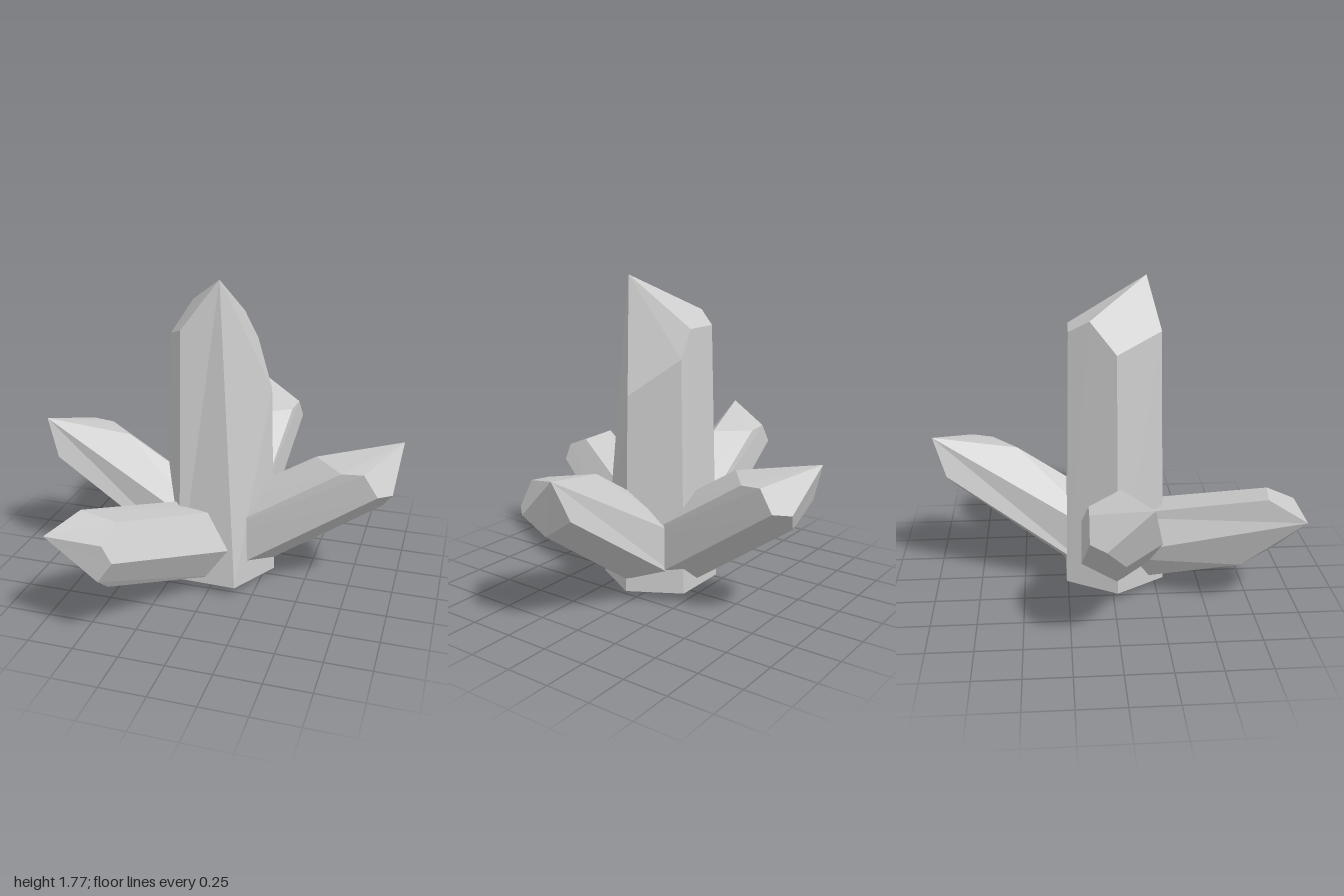
import * as THREE from 'three';

// Hexagonal crystal: base corners run clockwise seen from above
const base = [[0.16, 0.30], [-0.165, 0.29], [-0.33, 0.02], [-0.17, -0.26], [0.16, -0.26], [0.32, 0.02]]
  .map(([x, z]) => [x, 0.07, z]);
const apex = [0.045, 1.78, 0.195];
// Upper corner of each edge; the first edge runs right up to the apex
const top = [apex, [-0.145, 1.52, 0.26], [-0.283, 1.43, 0.015], [-0.135, 1.52, -0.23], [0.145, 1.37, -0.225], [0.287, 1.17, 0.02]];
// Extra peaks part-way along two walls
const peakLeft = [-0.2, 1.59, -0.12];
const peakBack = [0.065, 1.52, -0.228];

function crystalGeometry() {
  const faces = [base];
  for (let i = 0; i < 6; i++) {
    const j = (i + 1) % 6;
    const peak = i === 2 ? [peakLeft] : i === 3 ? [peakBack] : [];
    faces.push([base[j], base[i], top[i], ...peak, top[j]]);
  }
  // Three slanted facets of the point
  faces.push([apex, peakBack, top[3], peakLeft]);
  faces.push([apex, peakLeft, top[2], top[1]]);
  faces.push([apex, top[5], top[4], peakBack]);
  const positions = [];
  for (const f of faces)
    for (let k = 1; k < f.length - 1; k++) positions.push(...f[0], ...f[k], ...f[k + 1]);
  const g = new THREE.BufferGeometry();
  g.setAttribute('position', new THREE.Float32BufferAttribute(positions, 3));
  g.computeVertexNormals();
  return g;
}

export function createModel() {
  const group = new THREE.Group();
  const geometry = crystalGeometry();
  const material = new THREE.MeshStandardMaterial({ color: 0xcccccc, flatShading: true });

  const addCrystal = (name) => {
    const mesh = new THREE.Mesh(geometry, material);
    mesh.name = name;
    group.add(mesh);
    return mesh;
  };

  // Leaning crystal placed by its tip; heading, elevation and roll in degrees
  const addLeaning = (name, tip, heading, elevation, roll, scale) => {
    const [a, e, r] = [heading, elevation, roll].map(THREE.MathUtils.degToRad);
    const axis = new THREE.Vector3(Math.cos(e) * Math.cos(a), Math.sin(e), Math.cos(e) * Math.sin(a));
    const side = new THREE.Vector3(Math.sin(a), 0, -Math.cos(a));
    const up = new THREE.Vector3().crossVectors(axis, side);
    const x = side.clone().multiplyScalar(Math.cos(r)).addScaledVector(up, Math.sin(r));
    const z = new THREE.Vector3().crossVectors(x, axis);
    const mesh = addCrystal(name);
    mesh.quaternion.setFromRotationMatrix(new THREE.Matrix4().makeBasis(x, axis, z));
    mesh.scale.setScalar(scale);
    const offset = new THREE.Vector3(...apex).multiplyScalar(scale).applyQuaternion(mesh.quaternion);
    mesh.position.set(...tip).sub(offset);
  };

  addCrystal('mainCrystal');
  addLeaning('leftCrystal', [1, 0.9, -0.08], 2, 33.5, 90, 0.705);
  addLeaning('rightCrystal', [-1, 0.9, 0.14], 180, 33.5, 90, 0.705);
  addLeaning('backCrystal', [0, 0.9, -0.985], -82.5, 33.5, 90, 0.705);
  addLeaning('frontCrystal', [-0.63, 0.625, 0.97], 117.5, 17.5, 240, 0.705);
  return group;
}
